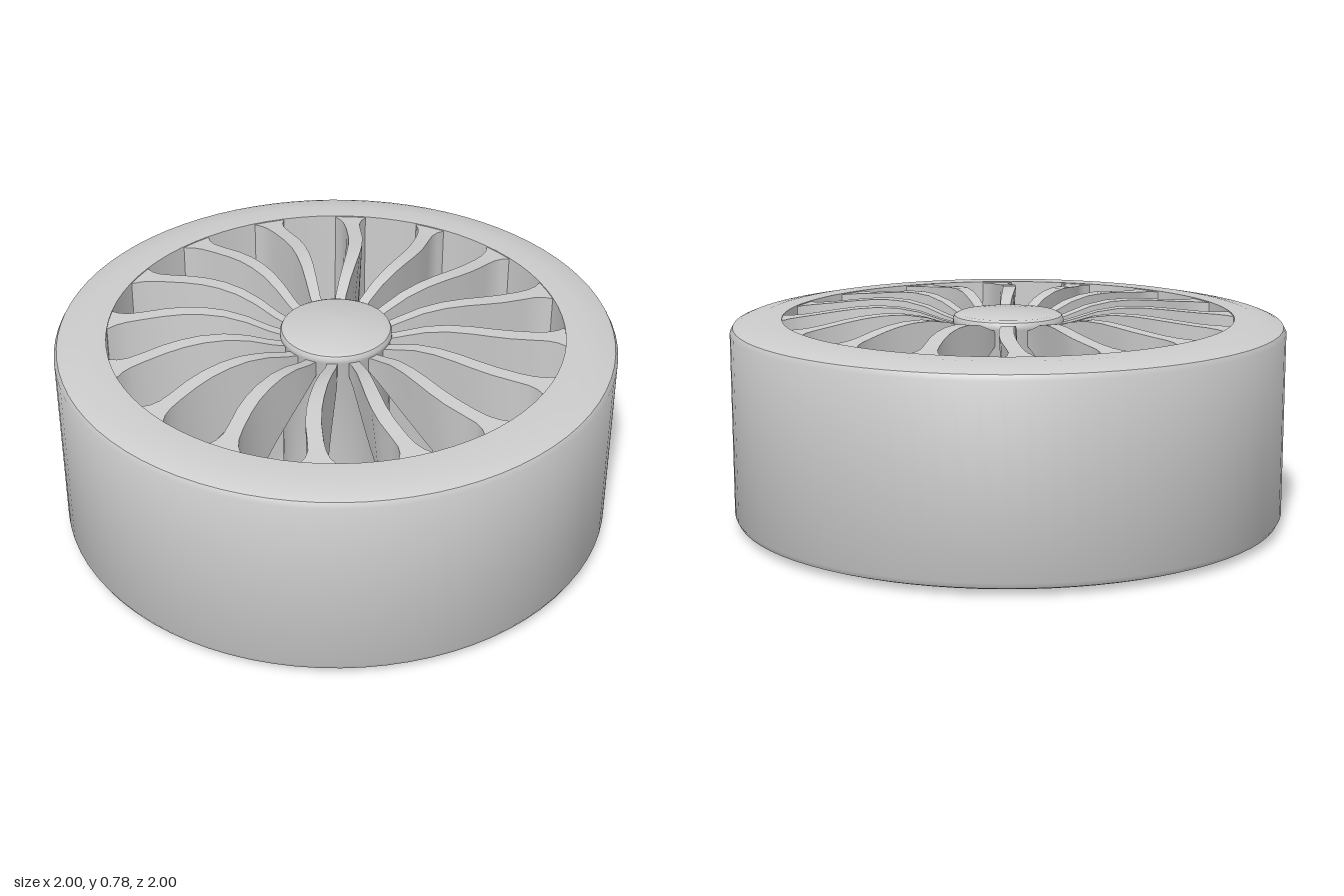
import * as THREE from 'three';
import { toCreasedNormals } from 'three/addons/utils/BufferGeometryUtils.js';

const SPOKES = 16;

// Each row: radius, top height, bottom height, sideways sweep, half width
const STATIONS = [
  [0.17, 0.715, 0.675, 0.0, 0.018],
  [0.24, 0.735, 0.65, 0.003, 0.019],
  [0.32, 0.762, 0.62, 0.014, 0.021],
  [0.40, 0.776, 0.59, 0.026, 0.023],
  [0.48, 0.778, 0.56, 0.035, 0.025],
  [0.55, 0.773, 0.53, 0.039, 0.026],
  [0.62, 0.765, 0.39, 0.036, 0.027],
  [0.70, 0.755, 0.22, 0.024, 0.027],
  [0.75, 0.750, 0.12, 0.015, 0.030],
  [0.785, 0.747, 0.05, 0.010, 0.041],
  [0.805, 0.745, 0.02, 0.007, 0.055],
  [0.83, 0.743, 0.01, 0.005, 0.066],
];

// Curved blade lofted through four-cornered sections along +x
function spokeGeometry() {
  const positions = [];
  const indices = [];
  STATIONS.forEach(([r, top, bottom, sweep, half], i) => {
    const low = sweep * 0.5;
    positions.push(r, top, sweep - half, r, top, sweep + half);
    positions.push(r, bottom, low + half, r, bottom, low - half);
    if (i === 0) return;
    const a = (i - 1) * 4;
    const b = i * 4;
    for (let k = 0; k < 4; k++) {
      const n = (k + 1) % 4;
      indices.push(a + k, a + n, b + n, a + k, b + n, b + k);
    }
  });
  const geometry = new THREE.BufferGeometry();
  geometry.setAttribute('position', new THREE.Float32BufferAttribute(positions, 3));
  geometry.setIndex(indices);
  return toCreasedNormals(geometry, 0.6);
}

function lathe(profile, segments) {
  const points = profile.map(([r, y]) => new THREE.Vector2(r, y));
  return toCreasedNormals(new THREE.LatheGeometry(points, segments), 0.6);
}

export function createModel() {
  const model = new THREE.Group();
  model.name = 'wheel';
  const metal = new THREE.MeshStandardMaterial({ color: 0xcccccc });
  metal.name = 'light grey';

  const add = (geometry, name, parent = model) => {
    const mesh = new THREE.Mesh(geometry, metal);
    mesh.name = name;
    parent.add(mesh);
    return mesh;
  };

  // Wide outer ring with shallow sloped shoulders
  add(lathe([
    [0.815, 0], [0.89, 0], [0.97, 0.018], [0.99, 0.026], [1, 0.045],
    [1, 0.705], [0.99, 0.724], [0.97, 0.732], [0.89, 0.748], [0.815, 0.748], [0.815, 0],
  ], 80), 'rim');

  // Full-height centre post with a softened cap edge
  add(lathe([
    [0, 0.03], [0.195, 0.03], [0.195, 0.715], [0.2, 0.725],
    [0.2, 0.738], [0.194, 0.75], [0.18, 0.757], [0, 0.76],
  ], 48), 'hub');

  // Swept spokes
  const spokes = new THREE.Group();
  spokes.name = 'spokes';
  model.add(spokes);
  const blade = spokeGeometry();
  for (let i = 0; i < SPOKES; i++) {
    add(blade, 'spoke', spokes).rotation.y = (i / SPOKES) * Math.PI * 2;
  }

  return model;
}
